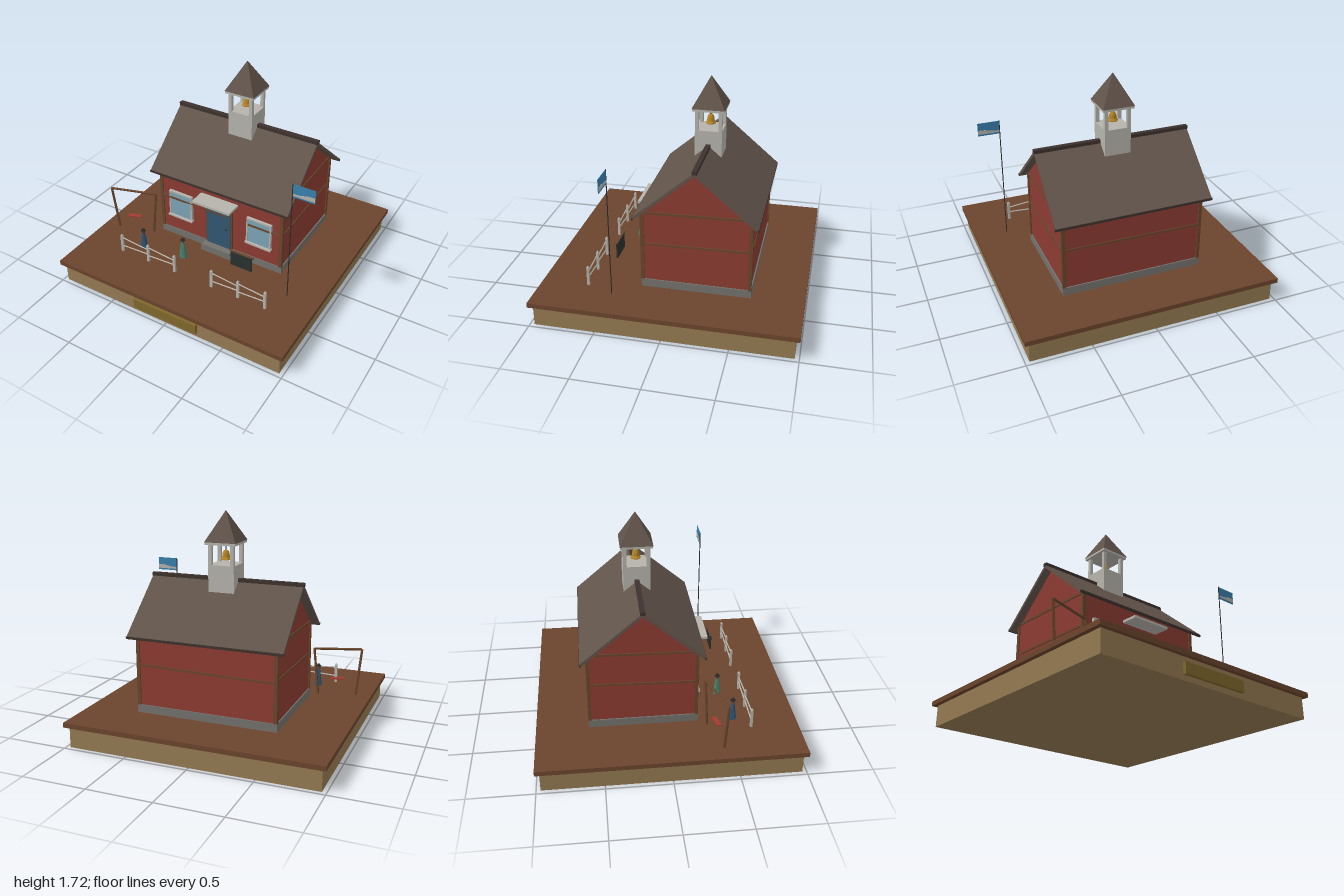
import * as THREE from 'three';

const mat = (color) => new THREE.MeshStandardMaterial({ color, flatShading: true, side: THREE.DoubleSide });
const M = {
  soil: mat(0x6b452d), plinth: mat(0x937951), brass: mat(0x80682c), red: mat(0x8b3b32),
  roof: mat(0x61534a), ridge: mat(0x3d322e), stone: mat(0x73716c), white: mat(0xb5b3ab),
  wood: mat(0x69452c), door: mat(0x32566f), glass: mat(0x7ba3b5), gold: mat(0xb58528),
  board: mat(0x29302d), flag: mat(0x397fac), blue: mat(0x2f5374), green: mat(0x47806d),
  seat: mat(0xa33a30), dark: mat(0x302c2b), skin: mat(0x6b4a3a),
};
const CX = 0.03, CZ = -0.18; // centre of the schoolhouse

export function createModel() {
  const root = new THREE.Group();
  root.name = 'schoolhouse';

  const add = (name, geo, m, parent = root) => {
    const mesh = new THREE.Mesh(geo, m);
    mesh.name = name;
    parent.add(mesh);
    return mesh;
  };
  // box given by its extents
  const box = (name, x0, x1, y0, y1, z0, z1, m, parent) => {
    const b = add(name, new THREE.BoxGeometry(x1 - x0, y1 - y0, z1 - z0), m, parent);
    b.position.set((x0 + x1) / 2, (y0 + y1) / 2, (z0 + z1) / 2);
    return b;
  };
  // tapered rod between two points
  const rod = (name, a, b, r0, r1, sides, m, parent) => {
    const p = new THREE.Vector3(...a), d = new THREE.Vector3(...b).sub(p);
    const r = add(name, new THREE.CylinderGeometry(r1, r0, d.length(), sides), m, parent);
    r.position.copy(p).addScaledVector(d, 0.5);
    r.quaternion.setFromUnitVectors(new THREE.Vector3(0, 1, 0), d.normalize());
    return r;
  };
  // (z, y) section, z relative to the house centre, extruded along x
  const section = (name, pts, x0, x1, m) => {
    const shape = new THREE.Shape(pts.map(([z, y]) => new THREE.Vector2(-z, y)));
    const g = new THREE.ExtrudeGeometry(shape, { depth: x1 - x0, bevelEnabled: false });
    g.rotateY(Math.PI / 2).translate(x0, 0, CZ);
    return add(name, g, m);
  };

  // Base
  box('basePlinth', -0.967, 0.967, 0, 0.166, -0.967, 0.967, M.plinth);
  box('groundSlab', -1, 1, 0.165, 0.202, -1, 1, M.soil);
  box('plaque', -0.283, 0.28, 0.04, 0.125, 0.96, 0.99, M.brass);

  // House body
  box('foundation', -0.53, 0.59, 0.2, 0.265, -0.6, 0.236, M.stone);
  section('walls', [[0.41, 0.262], [0.41, 0.83], [0, 1.18], [-0.41, 0.83], [-0.41, 0.262]], -0.52, 0.58, M.red);
  for (const x of [-0.53, 0.563]) {
    for (const z of [-0.6, 0.212]) box('cornerPost', x, x + 0.027, 0.262, 0.83, z, z + 0.027, M.wood);
  }

  // Battens on the walls
  for (const x of [-0.522, 0.582]) {
    const low = box('sideBatten', x - 0.006, x + 0.006, 0.567, 0.583, -0.58, 0.215, M.wood);
    const high = box('eaveBatten', x - 0.006, x + 0.006, 0.825, 0.843, -0.58, 0.215, M.wood);
    low.rotation.x = high.rotation.x = 0.022;
  }
  box('backBatten', -0.51, 0.57, 0.565, 0.582, -0.597, -0.585, M.wood).rotation.z = 0.015;
  for (const [x0, x1] of [[-0.5, -0.17], [-0.13, 0.14], [0.27, 0.56]]) {
    const s = new THREE.Shape([[x0, 0.572], [x0 + 0.2, 0.57], [x1, 0.583], [x0, 0.588]].map((p) => new THREE.Vector2(...p)));
    const g = new THREE.ExtrudeGeometry(s, { depth: 0.02, bevelEnabled: false });
    add('frontBatten', g, M.wood).position.z = 0.232;
  }

  // Roof
  section('roof', [[0.463, 0.808], [0, 1.203], [-0.463, 0.808], [-0.452, 0.788], [0, 1.175], [0.452, 0.788]], -0.583, 0.643, M.roof);
  box('ridgeCap', -0.588, 0.648, 1.188, 1.215, CZ - 0.018, CZ + 0.018, M.ridge);
  for (const s of [-1, 1]) {
    box('eaveTrim', -0.588, 0.648, 0.788, 0.806, CZ + s * 0.46 - 0.006, CZ + s * 0.46 + 0.006, M.ridge);
  }

  // Bell tower
  const tower = new THREE.Group();
  tower.name = 'bellTower';
  tower.position.set(CX, 0, CZ);
  root.add(tower);
  box('towerBase', -0.103, 0.103, 1.05, 1.32, -0.103, 0.103, M.white, tower);
  for (const x of [-0.089, 0.089]) {
    for (const z of [-0.089, 0.089]) {
      box('towerPost', x - 0.014, x + 0.014, 1.31, 1.48, z - 0.014, z + 0.014, M.white, tower);
    }
  }
  box('towerCornice', -0.122, 0.122, 1.473, 1.495, -0.122, 0.122, M.white, tower);
  const spire = add('spire', new THREE.ConeGeometry(0.125 * Math.SQRT2, 0.23, 4), M.roof, tower);
  spire.position.y = 1.607;
  spire.rotation.y = Math.PI / 4;
  const bellProfile = [[0, 1.422], [0.018, 1.42], [0.026, 1.4], [0.03, 1.37], [0.04, 1.355], [0.038, 1.35], [0, 1.352]];
  add('bell', new THREE.LatheGeometry(bellProfile.map((p) => new THREE.Vector2(...p)).reverse(), 10), M.gold, tower);
  rod('bellHanger', [0, 1.415, 0], [0, 1.48, 0], 0.003, 0.003, 5, M.dark, tower);

  // Entrance
  box('doorFrame', -0.095, 0.15, 0.265, 0.67, 0.22, 0.242, M.wood);
  box('door', -0.08, 0.135, 0.265, 0.655, 0.23, 0.25, M.door);
  const knob = add('doorKnob', new THREE.SphereGeometry(0.008, 6, 5), M.dark);
  knob.position.set(0.1, 0.45, 0.254);
  box('canopy', -0.14, 0.195, 0.695, 0.715, 0.22, 0.365, M.white);
  box('upperStep', -0.1, 0.16, 0.24, 0.266, 0.23, 0.305, M.stone);
  box('lowerStep', -0.11, 0.168, 0.2, 0.242, 0.23, 0.3, M.stone);

  // Windows, slightly crooked
  for (const [x, tilt] of [[-0.33, -0.02], [0.388, -0.02]]) {
    const w = new THREE.Group();
    w.name = 'window';
    w.position.set(x, 0.525, 0.24);
    w.rotation.z = tilt;
    root.add(w);
    box('glass', -0.1, 0.1, -0.11, 0.11, -0.015, 0.006, M.glass, w);
    for (const s of [-1, 1]) box('windowSide', s * 0.102 - 0.006, s * 0.102 + 0.006, -0.115, 0.115, -0.01, 0.012, M.white, w);
    box('windowHead', -0.108, 0.108, 0.104, 0.118, -0.01, 0.012, M.white, w);
    box('windowSill', -0.112, 0.115, -0.122, -0.108, -0.01, 0.025, M.white, w);
  }

  // Swing
  const A = [-0.91, 0.585, 0.4], B = [-0.545, 0.585, 0.287];
  rod('swingBeam', A, B, 0.01, 0.01, 5, M.wood);
  rod('swingLeg', [-0.872, 0.2, 0.385], A, 0.011, 0.01, 5, M.wood);
  rod('swingLeg', [-0.58, 0.2, 0.302], B, 0.011, 0.01, 5, M.wood);
  const seat = box('swingSeat', -0.785, -0.675, 0.331, 0.34, 0.33, 0.365, M.seat);
  seat.rotation.y = 0.3;

  // Pupils
  for (const [x, z, m] of [[-0.525, 0.51, M.blue], [-0.185, 0.447, M.green]]) {
    const p = new THREE.Group();
    p.name = 'pupil';
    p.position.set(x, 0.2, z);
    root.add(p);
    rod('coat', [0, 0, 0], [0, 0.145, 0], 0.032, 0.013, 6, m, p);
    add('head', new THREE.SphereGeometry(0.016, 6, 5), M.skin, p).position.y = 0.158;
    rod('hatBrim', [0, 0.166, 0], [0, 0.171, 0], 0.022, 0.022, 6, M.dark, p);
    rod('hat', [0, 0.17, 0], [0, 0.187, 0], 0.015, 0.011, 6, M.dark, p);
  }

  // Fences
  for (const xs of [[-0.645, -0.39, -0.14], [0.2, 0.433, 0.663]]) {
    for (const x of xs) {
      box('fencePost', x - 0.01, x + 0.01, 0.2, 0.355, 0.626, 0.644, M.white);
      const tip = add('fencePostTip', new THREE.ConeGeometry(0.0135, 0.016, 4), M.white);
      tip.position.set(x, 0.363, 0.635);
      tip.rotation.y = Math.PI / 4;
    }
    for (let i = 0; i < 2; i++) {
      for (const [y, d] of [[0.262, -0.006], [0.324, 0.012]]) {
        rod('fenceRail', [xs[i], y + d, 0.635], [xs[i + 1], y - d, 0.635], 0.006, 0.006, 4, M.white);
      }
    }
  }

  // Blackboard
  box('blackboard', 0.27, 0.455, 0.337, 0.468, 0.46, 0.472, M.board);
  box('blackboardRail', 0.263, 0.468, 0.466, 0.474, 0.457, 0.475, M.wood);

  // Flag
  rod('flagpole', [0.742, 0.2, 0.428], [0.742, 1.22, 0.428], 0.004, 0.004, 6, M.dark);
  box('flag', 0.745, 0.915, 1.112, 1.218, 0.425, 0.43, M.flag);
  const band = new THREE.Shape([[0.746, 1.125], [0.914, 1.125], [0.914, 1.16], [0.86, 1.158], [0.8, 1.143], [0.746, 1.14]].map((p) => new THREE.Vector2(...p)));
  const bandGeo = new THREE.ExtrudeGeometry(band, { depth: 0.008, bevelEnabled: false });
  add('flagBand', bandGeo, M.white).position.z = 0.4235;

  return root;
}
